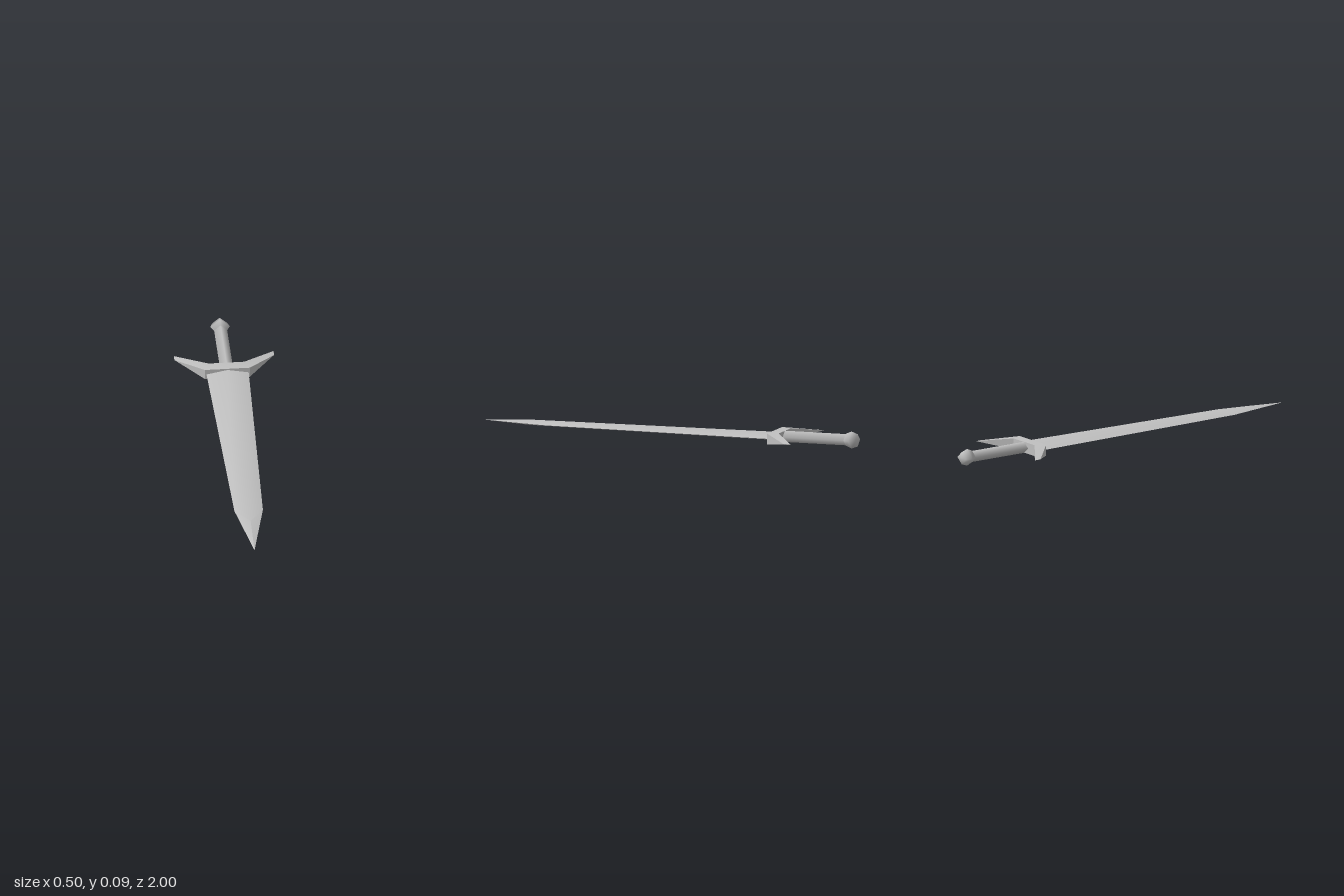
import * as THREE from 'three';
import { toCreasedNormals } from 'three/addons/utils/BufferGeometryUtils.js';

const MID_Y = 0.0435;

// Skins a run of equal-sized rings (counterclockwise seen from the far end)
function loft(rings, crease) {
  const pos = [];
  const tri = (a, b, c) => pos.push(...a, ...b, ...c);
  for (let s = 0; s < rings.length - 1; s++) {
    const a = rings[s], b = rings[s + 1], n = a.length;
    for (let i = 0; i < n; i++) {
      const j = (i + 1) % n;
      tri(a[i], a[j], b[j]);
      tri(a[i], b[j], b[i]);
    }
  }
  const geo = new THREE.BufferGeometry();
  geo.setAttribute('position', new THREE.Float32BufferAttribute(pos, 3));
  return toCreasedNormals(geo, crease);
}

// Four-sided, smooth-shaded turned part running towards -z
function turned(profile) {
  const points = profile.map(([r, d]) => new THREE.Vector2(r, d));
  return new THREE.LatheGeometry(points, 4)
    .rotateX(-Math.PI / 2)
    .scale(1, 0.87, 1)
    .translate(0.003, MID_Y, 0);
}

export function createModel() {
  const steel = new THREE.MeshStandardMaterial({ color: 0xc0c0c0 });
  steel.name = 'steel grey';
  const group = new THREE.Group();
  group.name = 'sword';
  const add = (name, geo) => {
    const mesh = new THREE.Mesh(geo, steel);
    mesh.name = name;
    group.add(mesh);
  };

  // Blade: diamond section; [centre x, half width, edge z, half thickness, ridge z]
  const blade = [
    [0.004, 0.107, -0.57, 0.021, -0.57],
    [0.002, 0.072, 0.65, 0.0135, 0.76],
    [0, 0, 1, 0, 1],
  ].map(([x, w, ze, h, zr]) => [
    [x + w, MID_Y, ze], [x, MID_Y + h, zr], [x - w, MID_Y, ze], [x, MID_Y - h, zr],
  ]);
  add('blade', loft(blade, 0.5));

  // Crossguard: straight block with arms swept back to thin tips
  // [front x, front z, back x, back z, half height]
  const half = [
    [0.113, -0.555, 0.09, -0.61, 0.028],
    [0.252, -0.695, 0.252, -0.73, 0],
  ];
  const guardRing = ([xf, zf, xb, zb, h], side) => [
    [side * xb, MID_Y - h, zb], [side * xb, MID_Y + h, zb],
    [side * xf, MID_Y + h, zf], [side * xf, MID_Y - h, zf],
  ];
  const guard = [
    guardRing(half[1], -1), guardRing(half[0], -1),
    guardRing(half[0], 1), guardRing(half[1], 1),
  ];
  // Nudge the central block slightly off centre
  for (const ring of [guard[1], guard[2]]) ring.forEach((p) => { p[0] += 0.003; });
  add('crossguard', loft(guard, 0.5));

  // Grip and pommel
  add('grip', turned([[0.033, 0.6], [0.033, 0.95]]));
  add('pommel', turned([[0, 0.935], [0.034, 0.935], [0.05, 0.967], [0.036, 1], [0, 1]]));

  return group;
}
